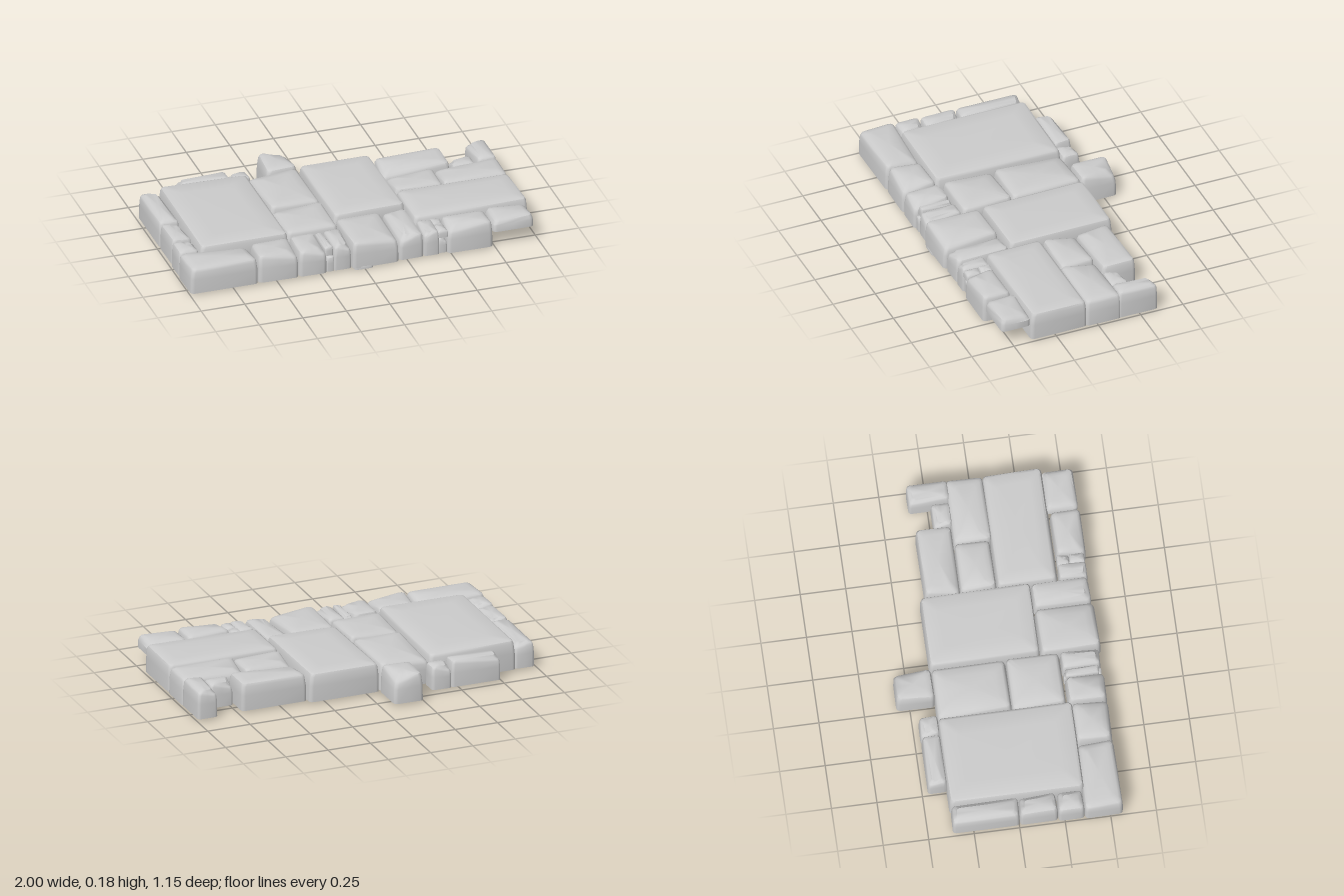
import * as THREE from 'three';
import { toCreasedNormals } from 'three/addons/utils/BufferGeometryUtils.js';

const material = new THREE.MeshStandardMaterial({ color: 0xcccccc, side: THREE.DoubleSide });

function seeded(seed) {
  let s = seed * 7919 + 17;
  return () => {
    s = (s * 16807) % 2147483647;
    return s / 2147483647;
  };
}

// One worn stone: stacked rounded-rectangle rings, uneven corners, hollow below unless closed
function stone(name, [x0, x1, z0, z1, top, base = 0.01], seed, closed = false) {
  const rand = seeded(seed);
  for (let i = 0; i < 5; i++) rand();
  const cx = (x0 + x1) / 2, cz = (z0 + z1) / 2;
  const hx = (x1 - x0) / 2, hz = (z1 - z0) / 2;
  const small = Math.min(hx, hz), h = top - base;
  const bevel = Math.min(0.02, small * 0.3, h * 0.3);
  const radius = Math.min(0.022, small * 0.3);
  const worn = Math.floor(rand() * 4);
  const corners = [[1, 1], [-1, 1], [-1, -1], [1, -1]].map(([sx, sz], i) => ({
    sx, sz,
    inX: rand() * Math.min(0.012, small * 0.12),
    inZ: rand() * Math.min(0.012, small * 0.12),
    drop: rand() * 0.01 + (i === worn && small < 0.17 ? h * 0.14 : 0),
  }));
  // height, inset, share of the corner wear
  const rings = [
    [base, 0, 0],
    [base + h * 0.55, 0, 0.2],
    [top - bevel, bevel * 0.1, 1],
    [top - bevel * 0.3, bevel * 0.4, 1],
    [top - bevel * 0.05, bevel * 1.1, 0.8],
    [top, small * 0.45, 0.3],
  ];
  const pos = [], index = [];
  let n = 0;
  for (const [y, inset, wear] of rings) {
    const ring = [];
    const r = Math.max(radius, small * 0.02);
    corners.forEach((c, i) => {
      for (let k = 0; k < 4; k++) {
        const a = (i + k / 3) * Math.PI / 2;
        const px = c.sx * (hx - r - inset - c.inX * (0.4 + wear * 0.6)) + r * Math.cos(a);
        const pz = c.sz * (hz - r - inset - c.inZ * (0.4 + wear * 0.6)) + r * Math.sin(a);
        ring.push([cx + px, y - c.drop * wear, cz - pz]);
      }
    });
    // Add a point halfway along each straight edge
    const full = [];
    ring.forEach((p, i) => {
      full.push(p);
      if (i % 4 === 3) {
        const q = ring[(i + 1) % ring.length];
        full.push(p.map((v, k) => (v + q[k]) / 2));
      }
    });
    n = full.length;
    full.forEach((p) => pos.push(...p));
  }
  for (let j = 0; j < rings.length - 1; j++) {
    for (let i = 0; i < n; i++) {
      const a = j * n + i, b = j * n + (i + 1) % n;
      index.push(a, b, b + n, a, b + n, a + n);
    }
  }
  const last = (rings.length - 1) * n, centre = pos.length / 3;
  pos.push(cx, top, cz, cx, base, cz);
  for (let i = 0; i < n; i++) {
    const j = (i + 1) % n;
    index.push(last + i, last + j, centre);
    if (closed) index.push(j, i, centre + 1);
  }
  const geometry = new THREE.BufferGeometry();
  geometry.setAttribute('position', new THREE.Float32BufferAttribute(pos, 3));
  geometry.setIndex(index);
  const mesh = new THREE.Mesh(toCreasedNormals(geometry, 0.75), material);
  mesh.name = name;
  return mesh;
}

// Each row: x from, x to, z from, z to, top, base
const layout = {
  largeSlab: [
    [-0.88, -0.365, -0.37, 0.375, 0.182],
    [-0.075, 0.345, -0.37, 0.24, 0.177],
    [0.34, 0.995, 0.06, 0.4, 0.173],
  ],
  innerStone: [
    [-0.37, -0.07, -0.365, 0.05, 0.172],
    [-0.37, -0.07, 0.045, 0.345, 0.17],
    [0.34, 0.625, -0.14, 0.06, 0.165],
    [0.62, 1, -0.14, 0.07, 0.17],
  ],
  rightEdgeStone: [
    [-0.99, -0.87, -0.365, 0.005, 0.163],
    [-0.99, -0.87, 0.005, 0.215, 0.158],
    [-0.995, -0.87, 0.215, 0.36, 0.16],
  ],
  frontStone: [
    [-1, -0.605, 0.36, 0.57, 0.165],
    [-0.605, -0.375, 0.36, 0.57, 0.168],
    [-0.375, -0.215, 0.35, 0.57, 0.16],
    [-0.175, -0.07, 0.345, 0.56, 0.158],
    [-0.07, 0.2, 0.24, 0.575, 0.165],
    [0.2, 0.345, 0.24, 0.56, 0.155],
    [0.345, 0.435, 0.4, 0.56, 0.155],
    [0.475, 0.74, 0.4, 0.57, 0.168],
  ],
  backStone: [
    [0.34, 0.73, -0.34, -0.14, 0.172],
    [0.735, 0.875, -0.235, -0.13, 0.15],
    [0.875, 0.995, -0.355, -0.12, 0.172],
    [-0.745, -0.455, -0.47, -0.36, 0.16],
    [-0.455, -0.34, -0.47, -0.36, 0.145],
    [-0.25, -0.07, -0.575, -0.36, 0.172],
  ],
};

// Small filler stones and the overhanging corner cap, closed underneath
const fillers = {
  cornerCap: [[0.74, 0.975, 0.385, 0.56, 0.165, 0.09]],
  fillerStone: [
    [-0.215, -0.175, 0.35, 0.56, 0.1, 0.01],
    [-0.22, -0.172, 0.36, 0.545, 0.155, 0.1],
    [0.42, 0.485, 0.4, 0.47, 0.15, 0.08],
    [0.425, 0.485, 0.47, 0.555, 0.15, 0.105],
    [0.425, 0.48, 0.42, 0.55, 0.1, 0.01],
    [-0.06, 0.05, 0.48, 0.575, 0.035, 0],
  ],
};

export function createModel() {
  const group = new THREE.Group();
  group.name = 'stonePaving';
  let seed = 1;
  for (const [set, closed] of [[layout, false], [fillers, true]]) {
    for (const [name, rows] of Object.entries(set)) {
      rows.forEach((row, i) => group.add(stone(`${name}${i + 1}`, row, seed++, closed)));
    }
  }
  return group;
}
